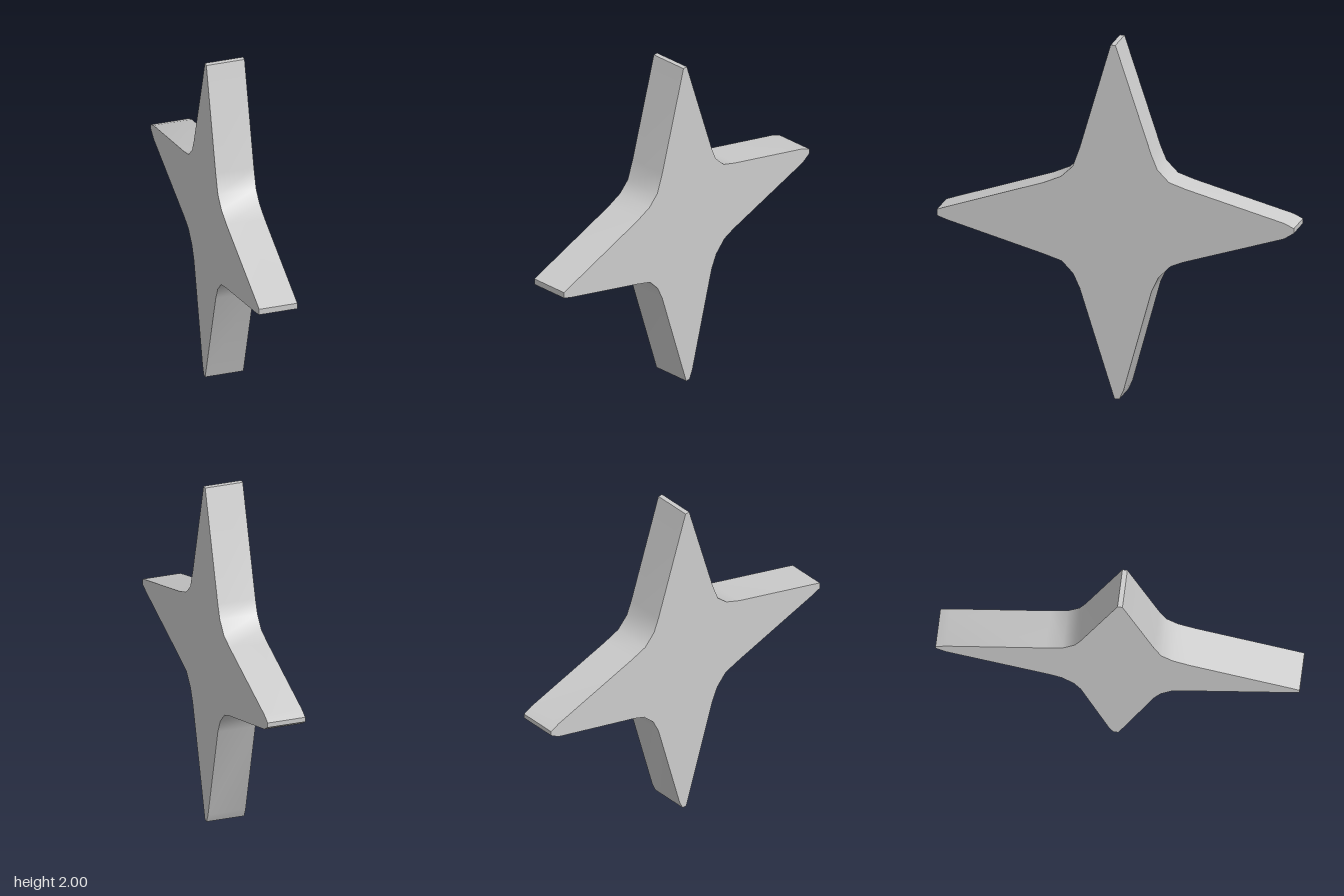
import * as THREE from 'three';
import { toCreasedNormals } from 'three/addons/utils/BufferGeometryUtils.js';

const THICKNESS = 0.218;

// Outline as [z, y] measured from the centre, one row per rounded valley between two points
const OUTLINE = [
  [[0.027, 1], [0.2, 0.41], [0.24, 0.3], [0.305, 0.24], [0.4, 0.2], [0.94, 0.03], [1, 0.01]],
  [[1, -0.025], [0.945, -0.045], [0.4, -0.205], [0.3, -0.238], [0.237, -0.305], [0.2, -0.385], [0.005, -1]],
  [[-0.022, -1], [-0.045, -0.95], [-0.202, -0.38], [-0.24, -0.3], [-0.308, -0.232], [-0.38, -0.203], [-0.945, -0.035], [-1, 0]],
  [[-1, 0.027], [-0.945, 0.053], [-0.395, 0.21], [-0.3, 0.243], [-0.235, 0.31], [-0.202, 0.39], [0, 1]],
];

export function createModel() {
  const group = new THREE.Group();
  group.name = 'fourPointedStar';

  // Flat star plate, extruded along x
  const shape = new THREE.Shape(OUTLINE.flat().map(([z, y]) => new THREE.Vector2(z, y)));
  const plate = new THREE.ExtrudeGeometry(shape, { depth: THICKNESS, bevelEnabled: false });
  plate.translate(0, 1, -THICKNESS / 2);
  plate.rotateY(-Math.PI / 2);

  // Smooth valleys, sharp rims and tips
  const star = new THREE.Mesh(
    toCreasedNormals(plate, 0.7),
    new THREE.MeshStandardMaterial({ color: 0xcccccc })
  );
  star.name = 'starPlate';
  group.add(star);
  return group;
}
